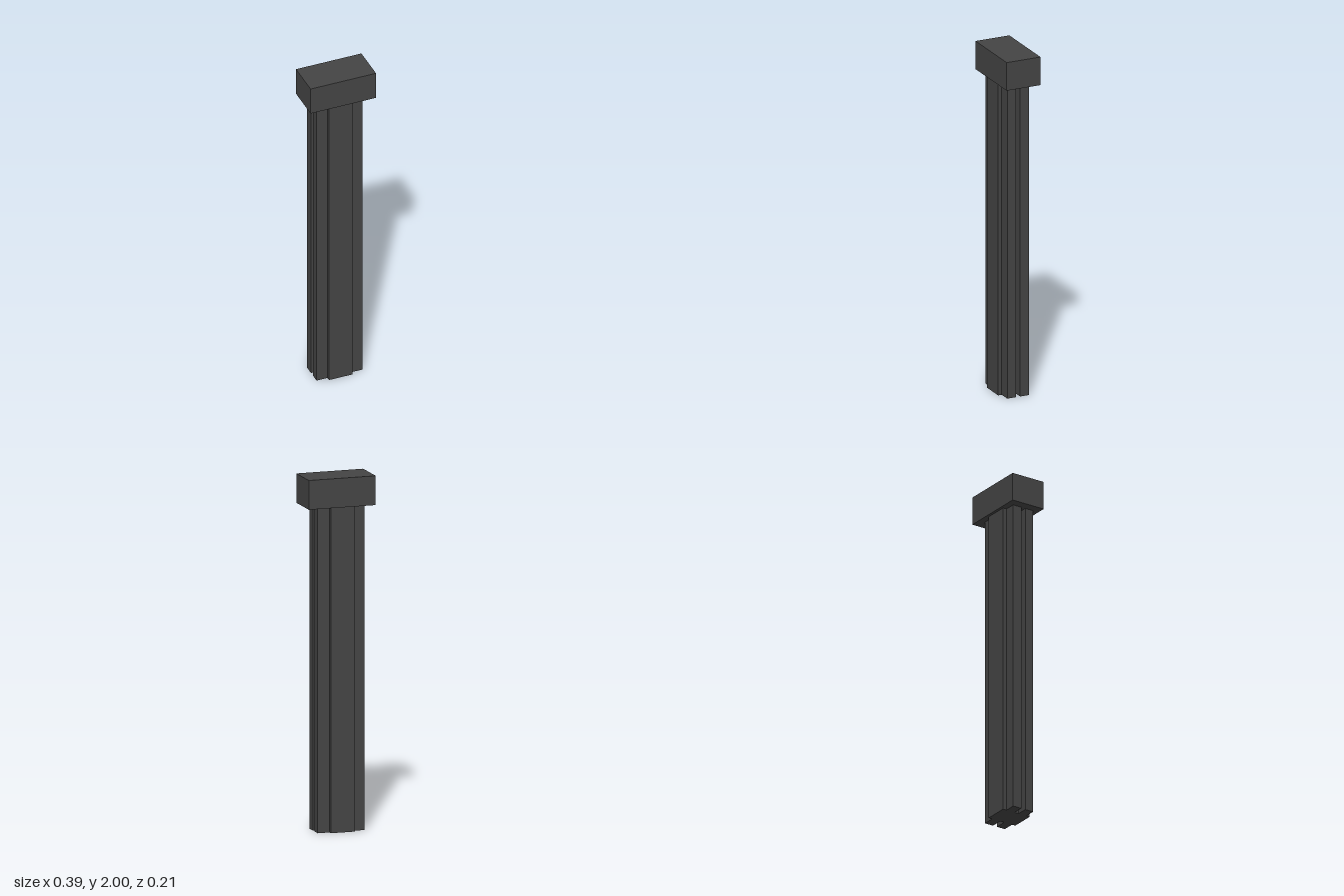
import * as THREE from 'three';

export function createModel() {
  const model = new THREE.Group();
  const material = new THREE.MeshStandardMaterial({ color: 0x444444, flatShading: true });
  const capBottom = 1.835;

  // Plan outline of the shaft: a proud centre panel front and back, a deep slot in each side
  const outer = [-0.145, 0.13];     // side faces in x
  const panel = [-0.08, 0.06];      // centre panel edges in x
  const [front, back] = [0.09, -0.088];
  const [shoulderFront, shoulderBack] = [0.068, -0.065];
  const [slotFront, slotBack] = [0.016, -0.011];
  const side = (i) => [
    [panel[i], front], [panel[i], shoulderFront],
    [outer[i], shoulderFront], [outer[i], slotFront],
    [panel[i], slotFront], [panel[i], slotBack],
    [outer[i], slotBack], [outer[i], shoulderBack],
    [panel[i], shoulderBack], [panel[i], back],
  ];
  const outline = [...side(0), ...side(1).reverse()];
  const shape = new THREE.Shape(outline.map(([x, z]) => new THREE.Vector2(x, -z)));
  const shaftGeometry = new THREE.ExtrudeGeometry(shape, { depth: capBottom, bevelEnabled: false });
  shaftGeometry.rotateX(-Math.PI / 2);
  const shaft = new THREE.Mesh(shaftGeometry, material);
  shaft.name = 'shaft';
  model.add(shaft);

  // Rectangular cap block
  const capHeight = 2 - capBottom;
  const cap = new THREE.Mesh(new THREE.BoxGeometry(0.392, capHeight, 0.208), material);
  cap.position.y = capBottom + capHeight / 2;
  cap.name = 'cap';
  model.add(cap);

  return model;
}
